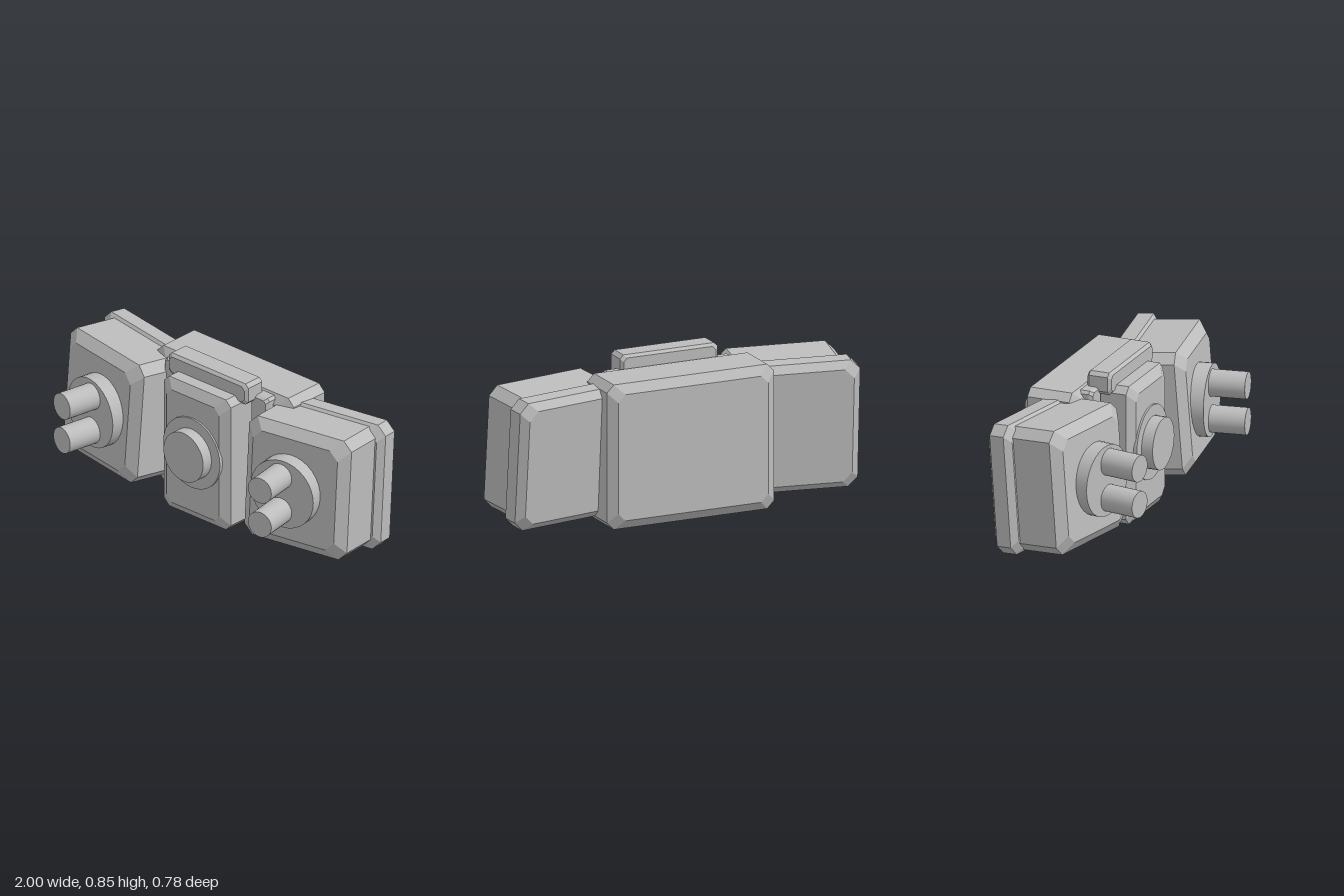
import * as THREE from 'three';

const grey = new THREE.MeshStandardMaterial({ color: 0xbcbcbc });
grey.name = 'plain grey';

// Box with cut corners: octagonal rings along z, inset at each end.
// inset and run are the bevel's sideways size and depth; back values default to the front ones.
function bevelBox(w, h, d, corner, inset, run, backInset = inset, backRun = run) {
  const ring = (z, s) => {
    const x = w / 2 - s, y = h / 2 - s, c = corner;
    return [[x, c - y], [x, y - c], [x - c, y], [c - x, y], [-x, y - c], [-x, c - y], [c - x, -y], [x - c, -y]]
      .map(([px, py]) => [px, py, z]);
  };
  const rings = [ring(-d / 2, backInset), ring(-d / 2 + backRun, 0), ring(d / 2 - run, 0), ring(d / 2, inset)];
  const pos = [];
  const tri = (a, b, c) => pos.push(...a, ...b, ...c);
  for (let r = 0; r < 3; r++) {
    for (let i = 0; i < 8; i++) {
      const j = (i + 1) % 8, lo = rings[r], hi = rings[r + 1];
      tri(lo[i], lo[j], hi[j]);
      tri(lo[i], hi[j], hi[i]);
    }
  }
  for (let i = 1; i < 7; i++) {
    tri(rings[3][0], rings[3][i], rings[3][i + 1]);
    tri(rings[0][0], rings[0][i + 1], rings[0][i]);
  }
  const g = new THREE.BufferGeometry();
  g.setAttribute('position', new THREE.Float32BufferAttribute(pos, 3));
  g.computeVertexNormals();
  return g;
}

// Cylinder along z, from z0 to z1.
function drum(r, z0, z1) {
  return new THREE.CylinderGeometry(r, r, z1 - z0, 32).rotateX(Math.PI / 2).translate(0, 0, (z0 + z1) / 2);
}

function add(parent, name, geometry, x = 0, y = 0, z = 0) {
  const m = new THREE.Mesh(geometry, grey);
  m.name = name;
  m.position.set(x, y, z);
  parent.add(m);
  return m;
}

// One angled side pod; side is 1 for left (+x), -1 for right.
function sidePod(side) {
  const pod = new THREE.Group();
  pod.name = side > 0 ? 'leftPod' : 'rightPod';
  pod.position.set(side * 0.665, 0.408, -0.04);
  pod.rotation.y = side * THREE.MathUtils.degToRad(10);

  // Housing and rear plate lean back
  const body = new THREE.Group();
  body.name = 'podBody';
  body.rotation.x = -THREE.MathUtils.degToRad(4.5);
  pod.add(body);
  add(body, 'podHousing', bevelBox(0.63, 0.67, 0.31, 0.05, 0.055, 0.045, 0.015, 0.015));
  add(body, 'podRearPlate', bevelBox(0.72, 0.70, 0.15, 0.05, 0.035, 0.03, 0.04, 0.035), 0, 0, -0.19);

  // Round mount and twin barrels stay level
  add(pod, 'barrelMount', drum(0.193, 0.08, 0.22), side * -0.028, 0.012);
  for (const y of [0.112, -0.085]) add(pod, 'barrel', drum(0.072, 0.2, 0.414), side * -0.04, y);
  return pod;
}

export function createModel() {
  const model = new THREE.Group();
  model.name = 'twinPodUnit';

  // Central body
  add(model, 'backBlock', bevelBox(0.96, 0.78, 0.305, 0.04, 0.05, 0.035), 0, 0.39, -0.2375);
  add(model, 'frontBlock', bevelBox(0.47, 0.755, 0.275, 0.035, 0.05, 0.035), 0, 0.39, -0.0075);
  add(model, 'topBar', bevelBox(0.56, 0.12, 0.135, 0.02, 0.015, 0.015), 0, 0.79, -0.0425);

  // Round front button
  add(model, 'buttonRing', drum(0.2, 0.1, 0.14), 0, 0.405);
  add(model, 'button', drum(0.14, 0.12, 0.203), 0, 0.405);

  // Pods and the arms joining them
  for (const side of [1, -1]) {
    add(model, 'linkArm', bevelBox(0.12, 0.2, 0.1, 0.015, 0.01, 0.02), side * 0.305, 0.67, -0.09);
    model.add(sidePod(side));
  }
  return model;
}
